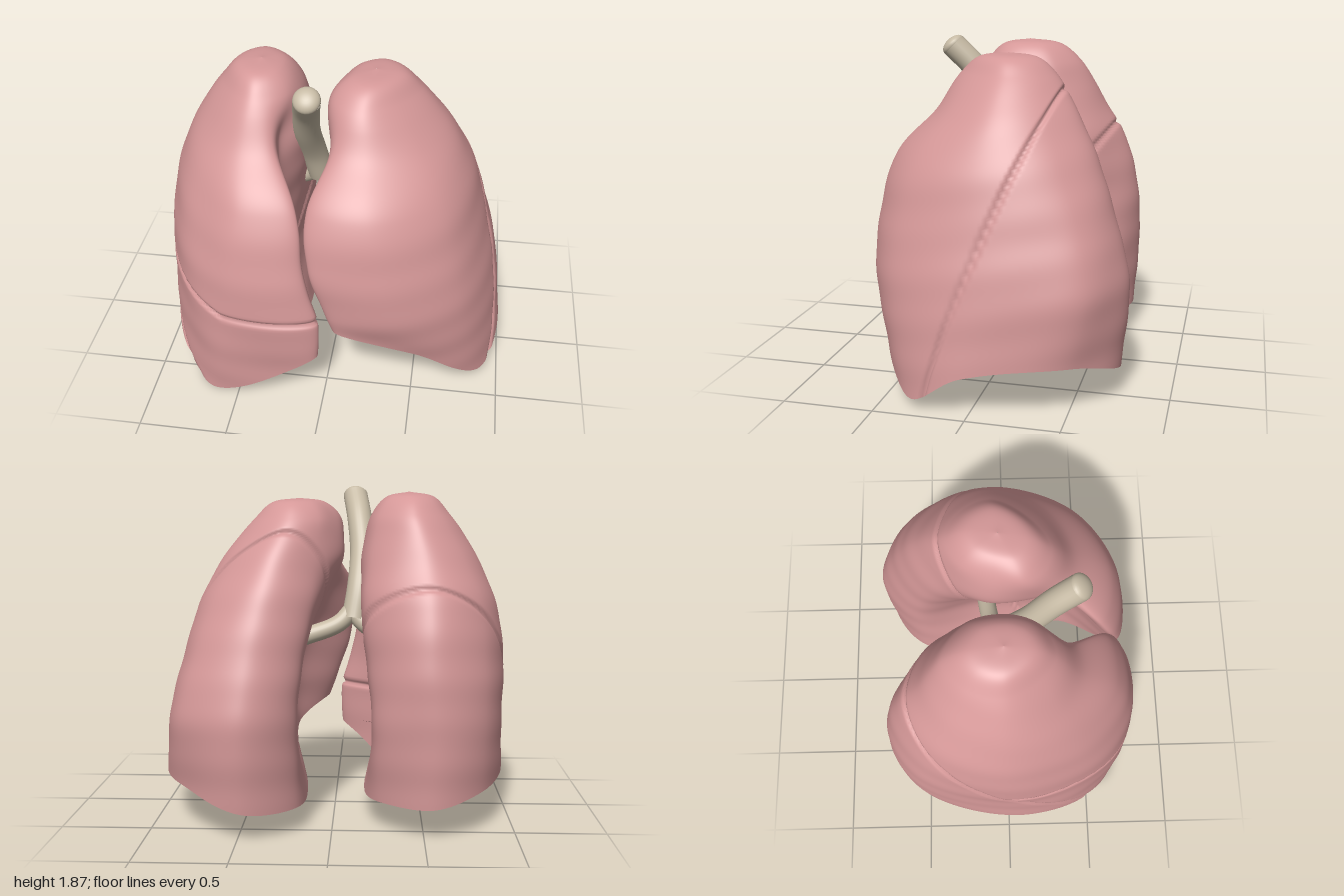
import * as THREE from 'three';

const NU = 200, NV = 150;
const tissue = new THREE.MeshStandardMaterial({ color: 0xd59898 });
tissue.name = 'lungPink';
const cartilage = new THREE.MeshStandardMaterial({ color: 0xc6baa4 });
cartilage.name = 'cartilageBeige';

// Sections run: front edge, front medial, medial, back medial, back,
// back lateral, lateral, front lateral, front. x grows away from the midline.
const leftLung = {
  name: 'leftLung', side: 1, dome: [0.52, 0.44, -0.1], apex: [0.2, -0.04], top: [1.79, 1.815],
  rim: [[0.06, 0.54, 0.66], [0.24, 0.42, 0.32], [0.16, 0.16, -0.1], [0.19, 0.15, -0.54], [0.47, 0.17, -0.73],
    [0.84, 0.28, -0.52], [0.99, 0.23, 0.03], [0.9, 0.06, 0.33], [0.5, 0.38, 0.6]],
  rows: [
    [0.65, [[0.02, 0.66], [0.25, 0.3], [0.27, -0.12], [0.2, -0.55], [0.47, -0.76], [0.82, -0.58], [0.93, 0], [0.77, 0.47], [0.4, 0.68]]],
    [0.95, [[-0.08, 0.64], [0.2, 0.32], [0.2, -0.11], [0.17, -0.5], [0.44, -0.69], [0.75, -0.52], [0.85, 0], [0.7, 0.45], [0.34, 0.67]]],
    [1.25, [[-0.1, 0.53], [0.07, 0.3], [0.06, -0.1], [0.12, -0.42], [0.38, -0.58], [0.66, -0.41], [0.76, 0], [0.61, 0.39], [0.25, 0.6]]],
    [1.5, [[0.02, 0.33], [-0.02, 0.2], [-0.04, -0.1], [0.1, -0.33], [0.32, -0.45], [0.53, -0.31], [0.62, -0.04], [0.47, 0.24], [0.21, 0.37]]],
    [1.7, [[0.04, 0.2], [-0.03, 0.1], [0, -0.08], [0.08, -0.24], [0.24, -0.32], [0.38, -0.24], [0.45, -0.07], [0.34, 0.13], [0.17, 0.24]]],
  ],
  // signed distance to the oblique fissure, positive in front
  fissures: (x, y, z) => [(z - (0.27 - 0.3 * y - 0.055 * y * y)) * 0.93],
  lobe: d => (d[0] > 0 ? 'UpperLobe' : 'LowerLobe'),
};

const rightLung = {
  name: 'rightLung', side: -1, dome: [0.56, 0.43, -0.03], apex: [0.42, -0.02], top: [1.82, 1.85],
  rim: [[0.03, 0.36, 0.68], [0.24, 0.2, 0.4], [0.17, 0.15, -0.04], [0.25, 0.18, -0.5], [0.55, 0.19, -0.67],
    [0.82, 0.25, -0.52], [0.98, 0.25, 0.04], [0.88, 0.16, 0.43], [0.66, 0.01, 0.66]],
  rows: [
    [0.58, [[0.02, 0.68], [0.32, 0.35], [0.26, -0.02], [0.24, -0.52], [0.55, -0.7], [0.83, -0.54], [0.97, 0.02], [0.83, 0.49], [0.52, 0.73]]],
    [0.9, [[0.1, 0.66], [0.31, 0.34], [0.23, -0.02], [0.21, -0.46], [0.53, -0.69], [0.83, -0.52], [0.97, 0], [0.82, 0.46], [0.51, 0.7]]],
    [1.25, [[0.15, 0.55], [0.29, 0.32], [0.18, 0], [0.18, -0.38], [0.52, -0.6], [0.8, -0.42], [0.91, 0], [0.75, 0.38], [0.46, 0.59]]],
    [1.5, [[0.3, 0.35], [0.29, 0.22], [0.17, 0.05], [0.2, -0.28], [0.5, -0.46], [0.71, -0.33], [0.8, -0.02], [0.66, 0.27], [0.47, 0.38]]],
    [1.72, [[0.34, 0.22], [0.25, 0.14], [0.21, 0], [0.25, -0.2], [0.44, -0.33], [0.59, -0.23], [0.65, -0.02], [0.55, 0.17], [0.44, 0.24]]],
  ],
  // oblique fissure, then the horizontal one in front of it
  fissures: (x, y, z) => [(z - 0.62 + 0.87 * y) / 1.33, y - 0.62 - 0.32 * Math.max(0, x - 0.56)],
  lobe: d => (d[0] < 0 ? 'LowerLobe' : d[1] > 0 ? 'UpperLobe' : 'MiddleLobe'),
};

// Grid surface closed around u
function gridGeometry(nv, point, flip) {
  const pos = [], index = [];
  for (let j = 0; j <= nv; j++)
    for (let i = 0; i < NU; i++) pos.push(...point(i, j));
  for (let j = 0; j < nv; j++)
    for (let i = 0; i < NU; i++) {
      const a = j * NU + i, b = j * NU + (i + 1) % NU, c = a + NU, d = b + NU;
      if (flip) index.push(a, c, b, b, c, d);
      else index.push(a, b, c, b, d, c);
    }
  const g = new THREE.BufferGeometry();
  g.setAttribute('position', new THREE.Float32BufferAttribute(pos, 3));
  g.setIndex(index);
  g.computeVertexNormals();
  return g;
}

function makeLung(spec) {
  const lung = new THREE.Group();
  lung.name = spec.name;
  const s = spec.side;

  // Stack the rim, the body sections and a rounded apex
  const loops = [spec.rim.map(p => new THREE.Vector3(...p))];
  for (const [y, pts] of spec.rows) loops.push(pts.map(([x, z]) => new THREE.Vector3(x, y, z)));
  const last = spec.rows[spec.rows.length - 1][1];
  [[spec.top[0], 0.62], [spec.top[1], 0.004]].forEach(([y, k]) => loops.push(last.map(([x, z]) =>
    new THREE.Vector3(spec.apex[0] + (x - spec.apex[0]) * k, y, spec.apex[1] + (z - spec.apex[1]) * k))));
  const rings = loops.map(l => new THREE.CatmullRomCurve3(l, true));
  const columns = [];
  for (let i = 0; i < NU; i++)
    columns.push(new THREE.CatmullRomCurve3(rings.map(r => r.getPoint(i / NU))));

  const body = gridGeometry(NV, (i, j) => {
    const p = columns[i].getPoint(j / NV);
    return [p.x * s, p.y, p.z];
  }, s > 0);

  // Press in the fissures and add faint undulations
  const pos = body.attributes.position, nor = body.attributes.normal;
  const fissuresAt = (x, y, z) => spec.fissures(x * s, y, z);
  for (let i = 0; i < pos.count; i++) {
    const x = pos.getX(i), y = pos.getY(i), z = pos.getZ(i);
    const d = fissuresAt(x, y, z);
    let near = Math.abs(d[0]);
    if (d.length > 1 && d[0] > 0) near = Math.min(near, Math.abs(d[1]));
    const fade = Math.min(1, Math.max(0, (spec.top[1] - y) * 5));
    const push = -0.022 * Math.exp(-((near / 0.012) ** 2))
      + fade * (0.0015 * Math.sin(y * 27 + z * 5) + 0.003 * Math.sin(x * 11 + z * 9 + y * 6));
    pos.setXYZ(i, x + nor.getX(i) * push, y + nor.getY(i) * push * 0.5, z + nor.getZ(i) * push);
  }
  body.computeVertexNormals();

  // Sort the faces into lobes
  const lobes = {}, idx = body.index.array;
  for (let k = 0; k < idx.length; k += 3) {
    const c = [0, 0, 0];
    for (let m = 0; m < 3; m++) {
      c[0] += pos.getX(idx[k + m]) / 3;
      c[1] += pos.getY(idx[k + m]) / 3;
      c[2] += pos.getZ(idx[k + m]) / 3;
    }
    const name = spec.lobe(fissuresAt(...c));
    (lobes[name] ??= []).push(idx[k], idx[k + 1], idx[k + 2]);
  }
  for (const [name, faces] of Object.entries(lobes)) {
    const g = new THREE.BufferGeometry();
    g.setAttribute('position', pos);
    g.setAttribute('normal', body.attributes.normal);
    g.setIndex(faces);
    const mesh = new THREE.Mesh(g, tissue);
    mesh.name = spec.name + name;
    lung.add(mesh);
  }

  // Hollow base that rests on the diaphragm
  const [cx, cy, cz] = spec.dome, steps = 12;
  const base = new THREE.Mesh(gridGeometry(steps, (i, j) => {
    const t = j / steps, rise = Math.sin(t * Math.PI / 2);
    return [THREE.MathUtils.lerp(pos.getX(i), cx * s, t),
      THREE.MathUtils.lerp(pos.getY(i), cy, rise),
      THREE.MathUtils.lerp(pos.getZ(i), cz, t)];
  }, s < 0), tissue);
  base.name = spec.name + 'Base';
  lung.add(base);
  return lung;
}

function tube(name, points, radius) {
  const curve = new THREE.CatmullRomCurve3(points.map(p => new THREE.Vector3(...p)));
  const mesh = new THREE.Mesh(new THREE.TubeGeometry(curve, 32, radius, 24), cartilage);
  mesh.name = name;
  return mesh;
}

export function createModel() {
  const model = new THREE.Group();
  model.name = 'lungs';
  model.add(makeLung(leftLung), makeLung(rightLung));

  // Windpipe with a rounded upper end
  const airway = new THREE.Group();
  airway.name = 'airway';
  airway.add(tube('windpipe', [[-0.11, 1.825, 0.37], [-0.135, 1.7, 0.25], [-0.155, 1.5, 0.12],
    [-0.14, 1.3, 0], [-0.11, 1.12, -0.06]], 0.073));
  const cap = new THREE.Mesh(new THREE.SphereGeometry(0.073, 24, 16), cartilage);
  cap.name = 'windpipeEnd';
  cap.position.set(-0.11, 1.825, 0.37);
  cap.scale.set(1, 0.6, 1);
  cap.rotation.x = 0.75;
  airway.add(cap);

  // Two branches into the lungs
  airway.add(tube('leftBronchus', [[-0.1, 1.18, -0.04], [-0.02, 1.1, -0.08], [0.2, 1.02, -0.12]], 0.05));
  airway.add(tube('rightBronchus', [[-0.1, 1.18, -0.04], [-0.17, 1.1, -0.08], [-0.32, 1.02, -0.12]], 0.05));
  model.add(airway);
  return model;
}
